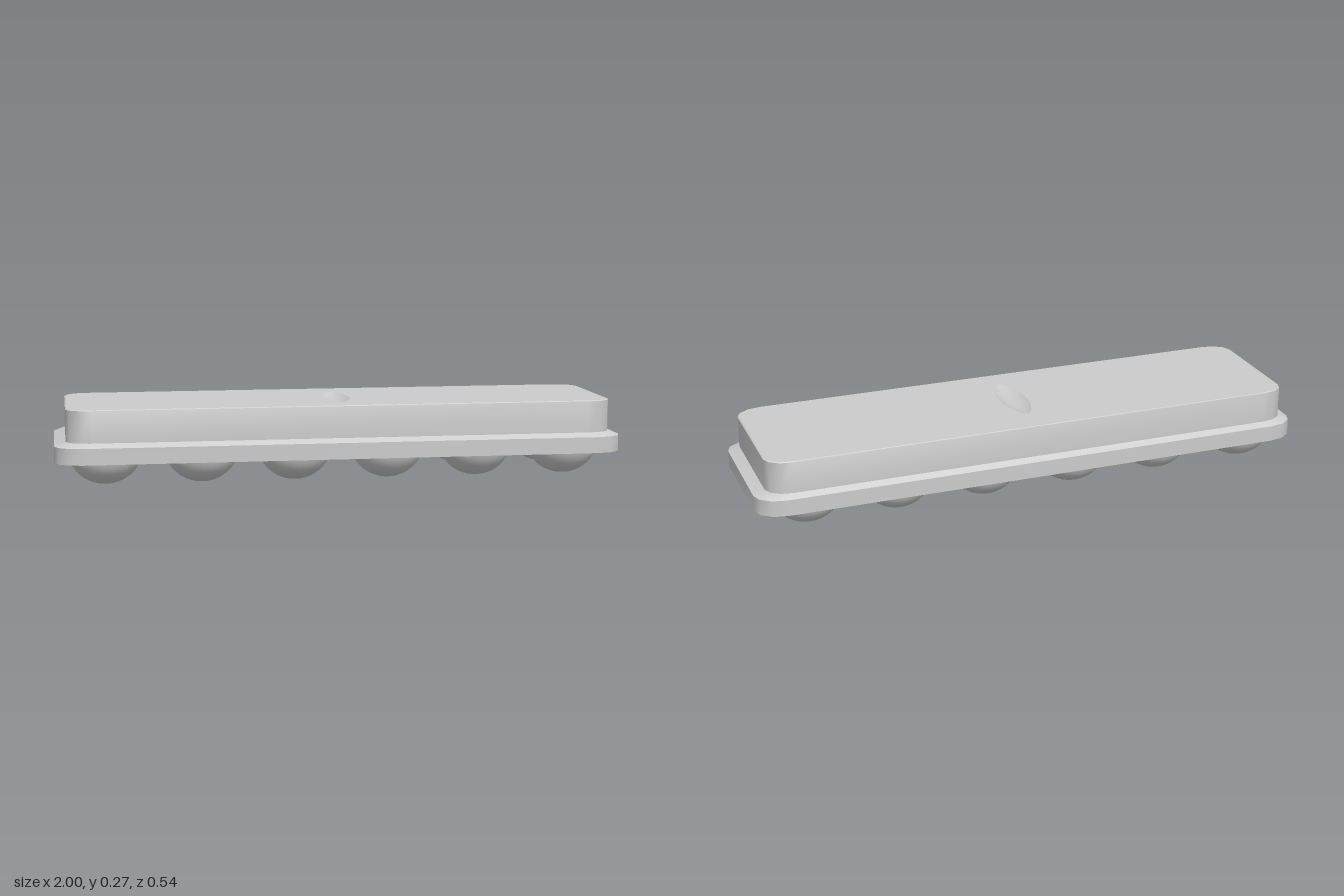
import * as THREE from 'three';
import { toCreasedNormals } from 'three/addons/utils/BufferGeometryUtils.js';

const material = new THREE.MeshStandardMaterial({ color: 0xcccccc });

// Outline of a rectangle with faceted elliptical corners, as [x, z] points
function outline(hx, hz, rx, rz, steps = 3) {
  const points = [];
  for (let corner = 0; corner < 4; corner++) {
    const sx = corner === 0 || corner === 3 ? 1 : -1;
    const sz = corner < 2 ? 1 : -1;
    for (let i = 0; i <= steps; i++) {
      const a = (corner + i / steps) * Math.PI / 2;
      points.push([sx * (hx - rx) + rx * Math.cos(a), sz * (hz - rz) + rz * Math.sin(a)]);
    }
  }
  return points;
}

// Pointed oval outline running along z
function almond(halfWidth, halfLength, cz, n = 24) {
  return Array.from({ length: n }, (_, i) => {
    const a = i / n * Math.PI * 2;
    return [halfWidth * Math.cos(a) * Math.abs(Math.cos(a)) ** 0.4, cz + halfLength * Math.sin(a)];
  });
}

// Skin through rings of equal point count, listed from bottom to top
function loft(rings, crease) {
  const n = rings[0].points.length;
  const positions = rings.flatMap(r => r.points.flatMap(([x, z]) => [x, r.y, z]));
  const index = [];
  for (let k = 0; k < rings.length - 1; k++) {
    for (let i = 0; i < n; i++) {
      const a = k * n + i, b = k * n + (i + 1) % n;
      index.push(a, a + n, b, b, a + n, b + n);
    }
  }
  const geometry = new THREE.BufferGeometry();
  geometry.setAttribute('position', new THREE.Float32BufferAttribute(positions, 3));
  geometry.setIndex(index);
  return toCreasedNormals(geometry, crease);
}

// Flat horizontal panel, facing up or down
function panel(points, y, up, hole) {
  const toV2 = p => p.map(([x, z]) => new THREE.Vector2(x, up ? -z : z));
  const shape = new THREE.Shape(toV2(points));
  if (hole) shape.holes.push(new THREE.Path(toV2(hole)));
  const geometry = new THREE.ShapeGeometry(shape);
  geometry.rotateX(up ? -Math.PI / 2 : Math.PI / 2);
  geometry.translate(0, y, 0);
  return geometry;
}

export function createModel() {
  const group = new THREE.Group();
  const add = (name, geometry, mat = material) => {
    const mesh = new THREE.Mesh(geometry, mat);
    mesh.name = name;
    group.add(mesh);
    return mesh;
  };

  const rim = outline(1, 0.272, 0.1, 0.075);
  const lid = outline(0.96, 0.253, 0.085, 0.06);
  const lidTop = outline(0.955, 0.251, 0.085, 0.06);

  // Wide rim with a sloped shoulder up to the lid
  add('rim', loft([
    { y: 0.085, points: rim },
    { y: 0.142, points: rim },
    { y: 0.157, points: lid },
  ], 0.65));
  add('underside', panel(rim, 0.085, false));

  // Upright lid walls
  add('lidWall', loft([
    { y: 0.157, points: lid },
    { y: 0.268, points: lid },
    { y: 0.271, points: lidTop },
  ], 0.65));

  // Lid top with a shallow finger recess in the middle
  add('lidTop', panel(lidTop, 0.271, true, almond(0.05, 0.15, 0.01)));
  const recessMaterial = material.clone();
  recessMaterial.side = THREE.DoubleSide;
  add('fingerRecess', loft([
    { y: 0.271, points: almond(0.05, 0.15, 0.01) },
    { y: 0.261, points: almond(0.035, 0.11, 0.01) },
    { y: 0.256, points: almond(0.018, 0.06, 0.01) },
    { y: 0.255, points: almond(0.0005, 0.0005, 0.01) },
  ], 0.8), recessMaterial);

  // Two rows of rounded cups below the rim
  const radius = 0.12;
  const start = Math.acos(-0.034 / radius);
  const cup = new THREE.SphereGeometry(radius, 28, 10, 0, Math.PI * 2, start, Math.PI - start);
  cup.scale(1.08, 1, 1);
  for (const x of [-0.825, -0.49, -0.163, 0.167, 0.487, 0.807]) {
    for (const z of [-0.137, 0.137]) add('cup', cup).position.set(x, radius, z);
  }

  return group;
}
